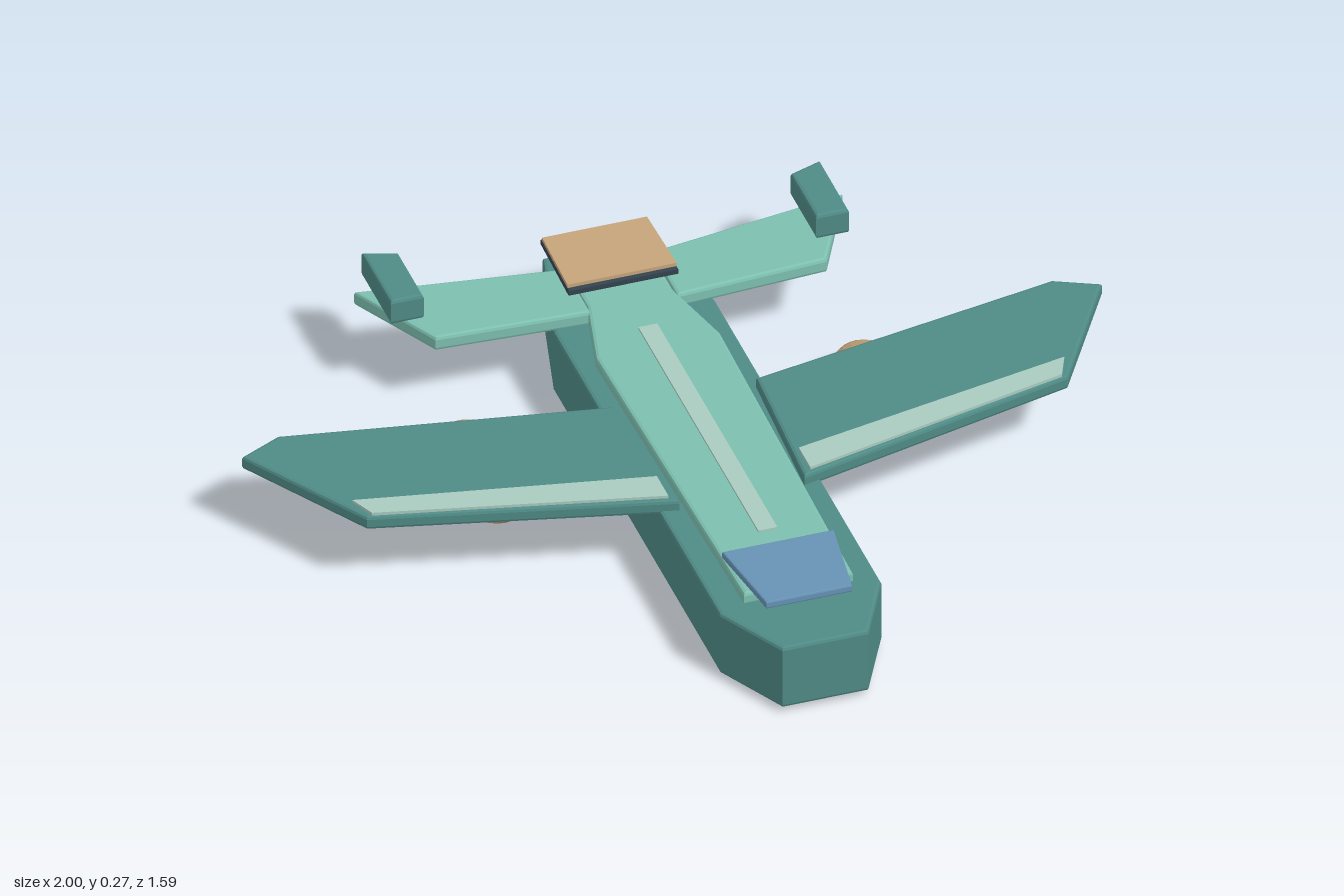
import * as THREE from 'three';

const paint = (name, color) => {
  const m = new THREE.MeshStandardMaterial({ color });
  m.name = name;
  return m;
};

export function createModel() {
  const teal = paint('teal', 0x4f8a85);
  const mint = paint('mint', 0x7dc0b0);
  const pale = paint('pale green', 0xaacbbf);
  const tan = paint('tan', 0xc6a47a);
  const blue = paint('canopy blue', 0x6692b5);
  const dark = paint('dark slate', 0x33434f);

  const model = new THREE.Group();
  model.name = 'aircraft';

  const add = (name, geometry, material) => {
    const mesh = new THREE.Mesh(geometry, material);
    mesh.name = name;
    model.add(mesh);
    return mesh;
  };

  // Horizontal slab: [x, z] outline between two heights with bevelled rims
  const slab = (name, outline, y0, y1, material, bevel = 0.008) => {
    const shape = new THREE.Shape(outline.map(([x, z]) => new THREE.Vector2(x, -z)));
    const geometry = new THREE.ExtrudeGeometry(shape, {
      depth: y1 - y0 - 2 * bevel,
      bevelEnabled: bevel > 0,
      bevelSize: bevel,
      bevelThickness: bevel,
      bevelOffset: -bevel,
      bevelSegments: 2,
    });
    geometry.rotateX(-Math.PI / 2).translate(0, y0 + bevel, 0);
    return add(name, geometry, material);
  };

  // Complete a right-hand outline with its mirror image
  const both = (half) => [...half, ...half.map(([x, z]) => [-x, z]).reverse()];

  // Fuselage and raised deck
  slab('fuselage', both([[0.1, 0.79], [0.188, 0.62], [0.188, -0.5], [0.12, -0.772]]), 0.013, 0.175, teal);
  slab('deck', both([[0.127, 0.607], [0.145, -0.34], [0.1, -0.53], [0.1, -0.62]]), 0.172, 0.205, mint);
  slab('spineStripe', both([[0.022, 0.4], [0.022, -0.41]]), 0.203, 0.21, pale, 0);
  slab('canopy', both([[0.1, 0.68], [0.13, 0.468]]), 0.206, 0.225, blue, 0.004);

  // Rear deck panel on its dark base
  slab('panelBase', both([[0.128, -0.575], [0.123, -0.777]]), 0.206, 0.222, dark, 0.003);
  slab('rearPanel', both([[0.127, -0.584], [0.122, -0.77]]), 0.222, 0.231, tan, 0);

  for (const s of [1, -1]) {
    const side = s > 0 ? 'left' : 'right';
    const flip = (points) => points.map(([x, z]) => [s * x, z]);

    // Wing and its leading edge stripe
    slab(side + 'Wing', flip([[0.145, 0.225], [0.815, 0.06], [1, -0.247], [0.9, -0.295], [0.165, -0.16]]),
      0.166, 0.201, teal);
    slab(side + 'WingStripe', flip([[0.165, 0.208], [0.802, 0.057], [0.828, -0.003], [0.165, 0.13]]),
      0.199, 0.208, pale, 0);

    // Tailplane and tip fin
    slab(side + 'Tailplane', flip([[0.1, -0.502], [0.455, -0.522], [0.568, -0.745], [0.1, -0.677]]),
      0.17, 0.207, mint);
    slab(side + 'Fin', flip([[0.456, -0.598], [0.533, -0.598], [0.533, -0.796], [0.456, -0.77]]),
      0.207, 0.271, teal);

    // Engine pod
    const pod = new THREE.SphereGeometry(1, 20, 14).rotateX(Math.PI / 2).scale(0.099, 0.072, 0.176).toNonIndexed();
    pod.computeVertexNormals();
    add(side + 'Engine', pod, tan).position.set(s * 0.461, 0.072, -0.19);

    // Intake plate whose corners break through the pod nose
    const face = new THREE.Shape([[-0.062, -0.01], [0.062, -0.01], [0.045, 0.036], [-0.045, 0.036]]
      .map(([x, y]) => new THREE.Vector2(x, y)));
    const intake = new THREE.ExtrudeGeometry(face, { depth: 0.032, bevelEnabled: false });
    add(side + 'Intake', intake, dark).position.set(s * 0.461, 0.072, -0.067);
  }
  return model;
}
